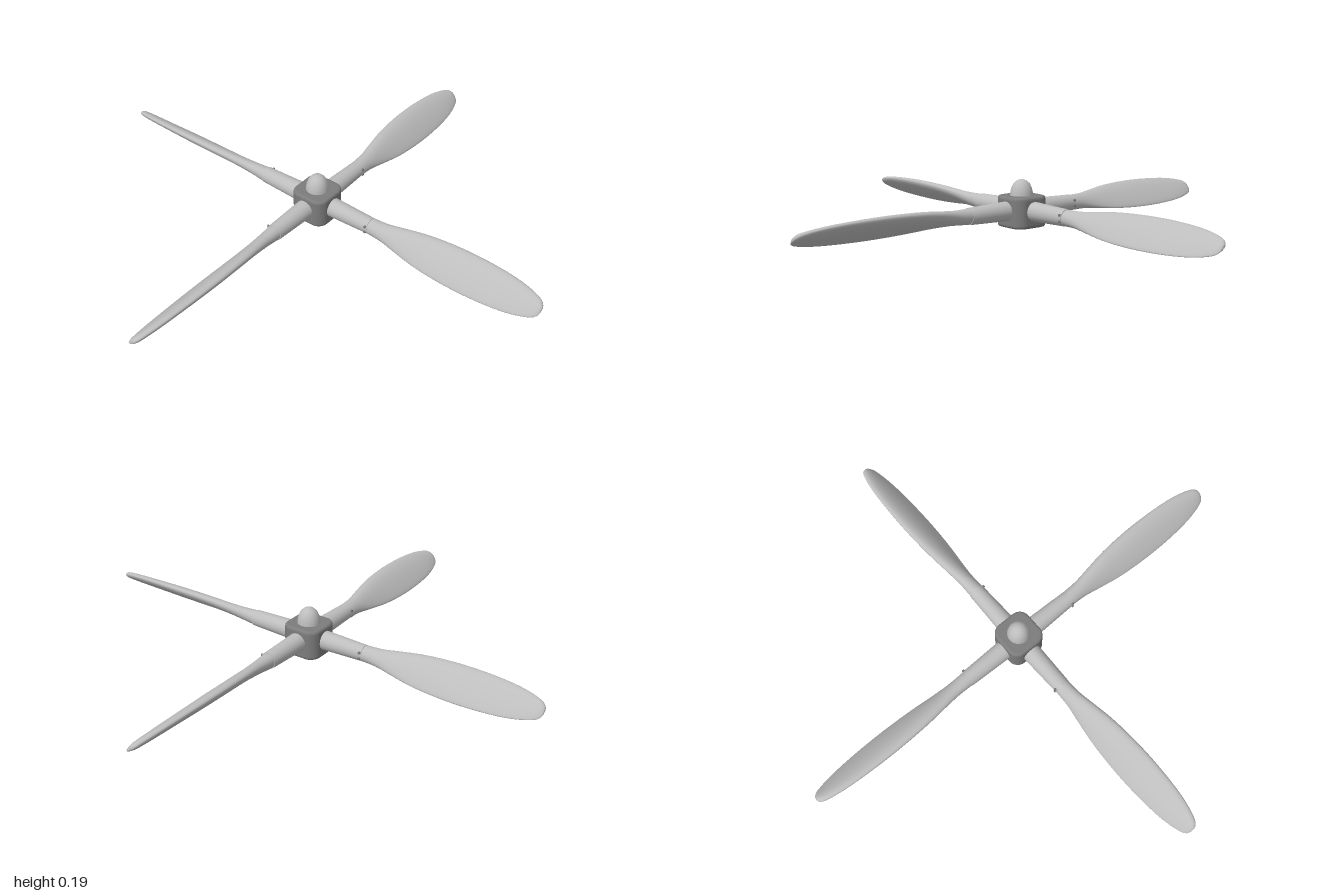
import * as THREE from 'three';

const bladeMat = new THREE.MeshStandardMaterial({ color: 0xbdbdbd });
bladeMat.name = 'light grey';
const hubMat = new THREE.MeshStandardMaterial({ color: 0x7c7c7c });
hubMat.name = 'dark grey';

const AXIS_Y = 0.067;
const PITCH = THREE.MathUtils.degToRad(39);

// span, half chord, half thickness
const STATIONS = [
  [0.2, 0.031, 0.031], [0.27, 0.033, 0.03], [0.33, 0.037, 0.026], [0.4, 0.05, 0.023],
  [0.5, 0.067, 0.022], [0.65, 0.077, 0.021], [0.8, 0.073, 0.018], [0.9, 0.061, 0.016],
  [0.96, 0.045, 0.014], [0.985, 0.033, 0.012], [0.997, 0.018, 0.007], [1, 0.001, 0.001],
];

function part(name, geometry, material) {
  const mesh = new THREE.Mesh(geometry, material);
  mesh.name = name;
  return mesh;
}

// Lofted airfoil along +x: blunt leading edge high at the back, thin trailing edge low at the front
function bladeGeometry() {
  const curve = new THREE.CatmullRomCurve3(STATIONS.map(s => new THREE.Vector3(...s)), false, 'centripetal');
  const rows = 66, sides = 32, pos = [], index = [];
  for (let i = 0; i <= rows; i++) {
    const s = curve.getPoint(i / rows);
    const foil = THREE.MathUtils.smoothstep(s.x, 0.26, 0.5);
    for (let j = 0; j < sides; j++) {
      const a = (j / sides) * Math.PI * 2;
      const u = Math.cos(a) * s.y;
      let v = Math.sin(a) * s.z * (1 + 0.4 * foil * Math.cos(a));
      if (v < 0) v *= 1 - 0.25 * foil;
      pos.push(s.x, u * Math.sin(PITCH) + v * Math.cos(PITCH), -u * Math.cos(PITCH) + v * Math.sin(PITCH));
      if (i < rows) {
        const k = (j + 1) % sides, p = i * sides, q = p + sides;
        index.push(p + j, p + k, q + j, p + k, q + k, q + j);
      }
    }
  }
  const g = new THREE.BufferGeometry();
  g.setAttribute('position', new THREE.Float32BufferAttribute(pos, 3));
  g.setIndex(index);
  g.computeVertexNormals();
  return g;
}

// Rounded square block with bevelled top and bottom
function hubGeometry() {
  const w = 0.07, r = 0.035, shape = new THREE.Shape();
  shape.moveTo(w, -w + r);
  shape.lineTo(w, w - r);
  shape.absarc(w - r, w - r, r, 0, Math.PI / 2);
  shape.absarc(-w + r, w - r, r, Math.PI / 2, Math.PI);
  shape.absarc(-w + r, -w + r, r, Math.PI, Math.PI * 1.5);
  shape.absarc(w - r, -w + r, r, Math.PI * 1.5, Math.PI * 2);
  const g = new THREE.ExtrudeGeometry(shape, {
    depth: 0.1, bevelEnabled: true, bevelThickness: 0.012, bevelSize: 0.01, bevelSegments: 3, curveSegments: 8,
  });
  g.rotateX(-Math.PI / 2);
  g.translate(0, 0.012, 0);
  return g;
}

export function createModel() {
  const model = new THREE.Group();
  model.name = 'propeller';

  model.add(part('hub', hubGeometry(), hubMat));

  // Spinner cap
  const profile = [[0.046, 0.118], [0.045, 0.135], [0.041, 0.153], [0.033, 0.17], [0.022, 0.181], [0.01, 0.186], [0, 0.187]];
  model.add(part('spinner', new THREE.LatheGeometry(profile.map(p => new THREE.Vector2(...p)), 32), bladeMat));

  // Four identical arms
  const blade = bladeGeometry();
  const cuff = new THREE.CylinderGeometry(0.033, 0.04, 0.225, 28);
  cuff.rotateZ(-Math.PI / 2);
  const bolt = new THREE.CylinderGeometry(0.005, 0.005, 0.008, 10);
  bolt.rotateX(Math.PI / 2);
  for (let n = 0; n < 4; n++) {
    const arm = new THREE.Group();
    arm.name = 'bladeArm';
    arm.position.y = AXIS_Y;
    arm.rotation.y = n * Math.PI / 2;
    arm.add(part('blade', blade, bladeMat));
    const sleeve = part('cuff', cuff, bladeMat);
    sleeve.position.x = 0.1525;
    arm.add(sleeve);
    // Clamp bolts around the cuff end
    for (const y of [-0.011, 0.013]) {
      const b = part('bolt', bolt, hubMat);
      b.position.set(0.258, y, 0.032);
      arm.add(b);
    }
    model.add(arm);
  }
  return model;
}
